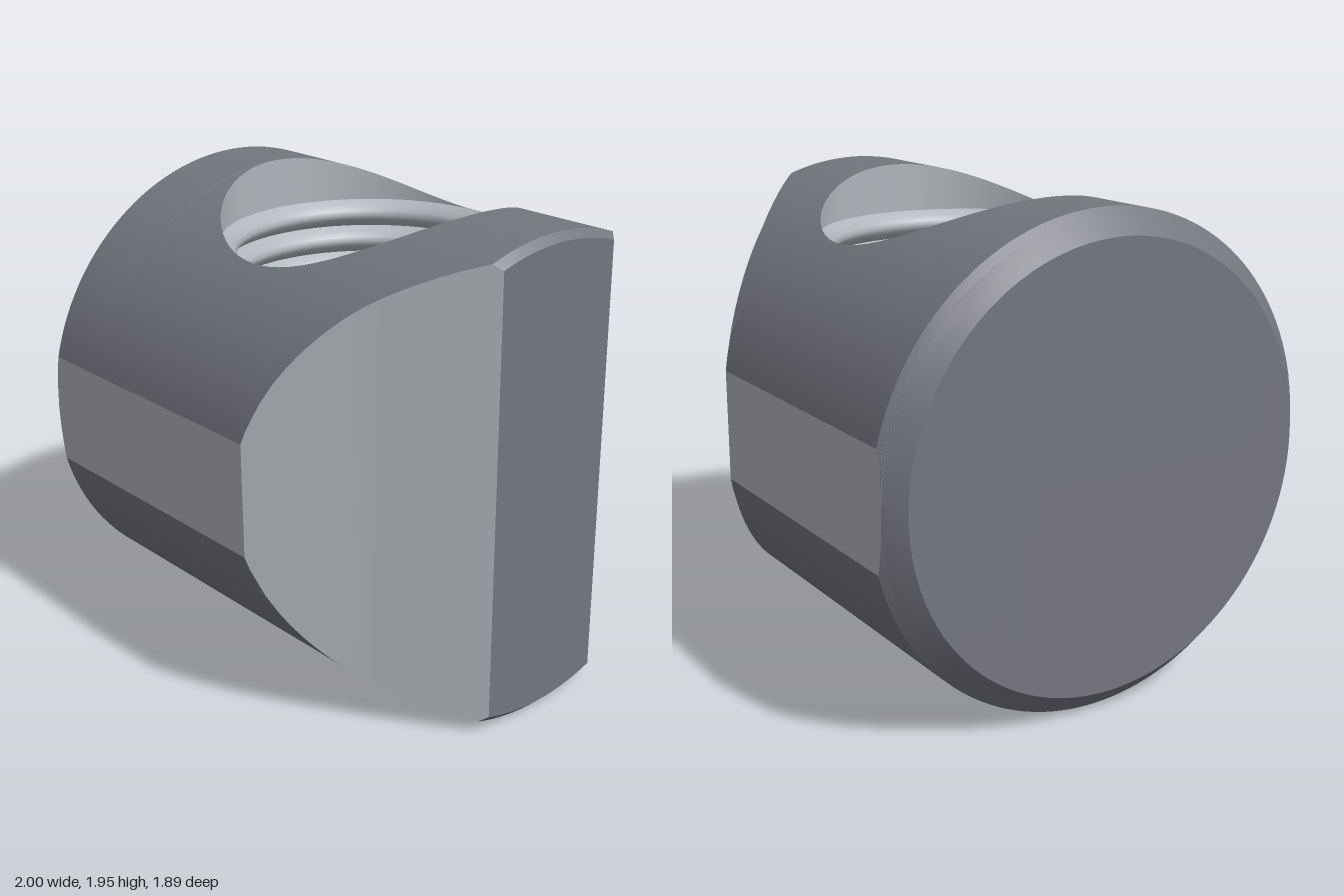
import * as THREE from 'three';
import { toCreasedNormals } from 'three/addons/utils/BufferGeometryUtils.js';

const R = 0.9725;      // barrel radius and height of its axis
const FLAT = 0.945;    // half width across the side flats
const BORE = 0.6;      // radius of the vertical bore
const MINOR = 0.54;    // radius at the thread crests
const COLS = 28;
const DARK = 0x74767f;   // blackened barrel skin
const BRIGHT = 0xb0b5bb; // freshly cut faces

const lerp = THREE.MathUtils.lerp;

// Barrel radius along x, with a chamfer at each end
const radius = (x) => Math.min(R, R - (-0.905 - x), R - (x - 0.97));

// Half width along x: side flats, then the slightly hollow wedge
function halfWidth(x) {
  let w = FLAT;
  if (x > 0.64) w = lerp(0.62, 0.293, (x - 0.64) / 0.36);
  else if (x > 0.34) w = lerp(FLAT, 0.62, (x - 0.34) / 0.3);
  return Math.min(w, radius(x));
}

const boreZ = (x) => Math.sqrt(Math.max(0, BORE * BORE - x * x));
const height = (x, z) => Math.sqrt(Math.max(0, radius(x) ** 2 - z * z));

// Creased normals, worked out at a large scale so close vertices stay distinct
function crease(geo, angle) {
  geo.scale(100, 100, 100);
  return toCreasedNormals(geo, angle).scale(0.01, 0.01, 0.01);
}

// Adds one quad to all four mirrored quarters of the barrel
function quad(pos, ...corners) {
  for (const sy of [1, -1]) for (const sz of [1, -1]) {
    const q = corners.map(([x, y, z]) => [x, R + sy * y, sz * z]);
    if (sy * sz < 0) q.reverse();
    for (const k of [0, 1, 2, 0, 2, 3]) pos.push(...q[k]);
  }
}

// Row of points at x, from the bore (or the crown) out to the side
function row(x) {
  const r = radius(x);
  const a0 = Math.asin(Math.min(1, boreZ(x) / r));
  const a1 = Math.asin(Math.min(1, halfWidth(x) / r));
  return Array.from({ length: COLS + 1 }, (_, j) => {
    const a = lerp(a0, a1, j / COLS);
    return [x, r * Math.cos(a), r * Math.sin(a)];
  });
}

function bodyGeometries() {
  const stations = [-1, -0.965, -0.9325, -0.928, -0.918, -0.905, -0.75, 0.34, 0.64, 0.7, 0.76, 0.82, 0.88, 0.93, 0.97, 1];
  for (let i = 0; i <= 40; i++) stations.push(-BORE * Math.cos((i / 40) * Math.PI));
  stations.sort((a, b) => a - b);

  const skin = [], sides = [], mouth = [];
  const rows = stations.map(row);
  const shoulder = height(0, BORE);

  for (let i = 0; i < rows.length - 1; i++) {
    const p = rows[i], n = rows[i + 1];
    const x0 = stations[i], x1 = stations[i + 1];
    // curved barrel
    for (let j = 0; j < COLS; j++) quad(skin, p[j], p[j + 1], n[j + 1], n[j]);
    // side flats and wedge faces
    const a = p[COLS], b = n[COLS];
    if (a[1] + b[1] > 1e-4) quad(sides, [x0, 0, a[2]], [x1, 0, b[2]], b, a);
    // smooth mouth of the bore
    if (x0 >= -BORE && x1 <= BORE) {
      quad(mouth, [x1, shoulder, boreZ(x1)], [x0, shoulder, boreZ(x0)], p[0], n[0]);
    }
  }

  // flat ends
  const first = rows[0], last = rows[rows.length - 1];
  const foot = ([x, , z]) => [x, 0, z];
  for (let j = 0; j < COLS; j++) {
    quad(skin, foot(first[j]), foot(first[j + 1]), first[j + 1], first[j]);
    quad(skin, last[j], last[j + 1], foot(last[j + 1]), foot(last[j]));
  }

  return [skin, sides, mouth].map((pos) => {
    const geo = new THREE.BufferGeometry();
    geo.setAttribute('position', new THREE.Float32BufferAttribute(pos, 3));
    return crease(geo, 0.3);
  });
}

// Rounded thread ridges between the two bore mouths
function threadGeometry() {
  const turns = 13, steps = 6;
  const low = R - height(0, BORE), high = R + height(0, BORE);
  const pts = [];
  for (let i = 0; i <= turns * steps; i++) {
    const ridge = Math.sin(((i % steps) / steps) * Math.PI);
    pts.push(new THREE.Vector2(lerp(BORE, MINOR, ridge), lerp(low, high, i / (turns * steps))));
  }
  return crease(new THREE.LatheGeometry(pts, 80), 0.9);
}

export function createModel() {
  const group = new THREE.Group();
  group.name = 'barrelNut';

  const add = (name, geo, color, side = THREE.FrontSide) => {
    const mesh = new THREE.Mesh(geo, new THREE.MeshStandardMaterial({ color, side }));
    mesh.name = name;
    group.add(mesh);
  };

  const [skin, sides, mouth] = bodyGeometries();
  add('barrelBody', skin, DARK);
  add('sideFlatsAndWedge', sides, BRIGHT);
  add('boreMouths', mouth, BRIGHT);
  add('threadedBore', threadGeometry(), BRIGHT, THREE.DoubleSide);
  return group;
}
